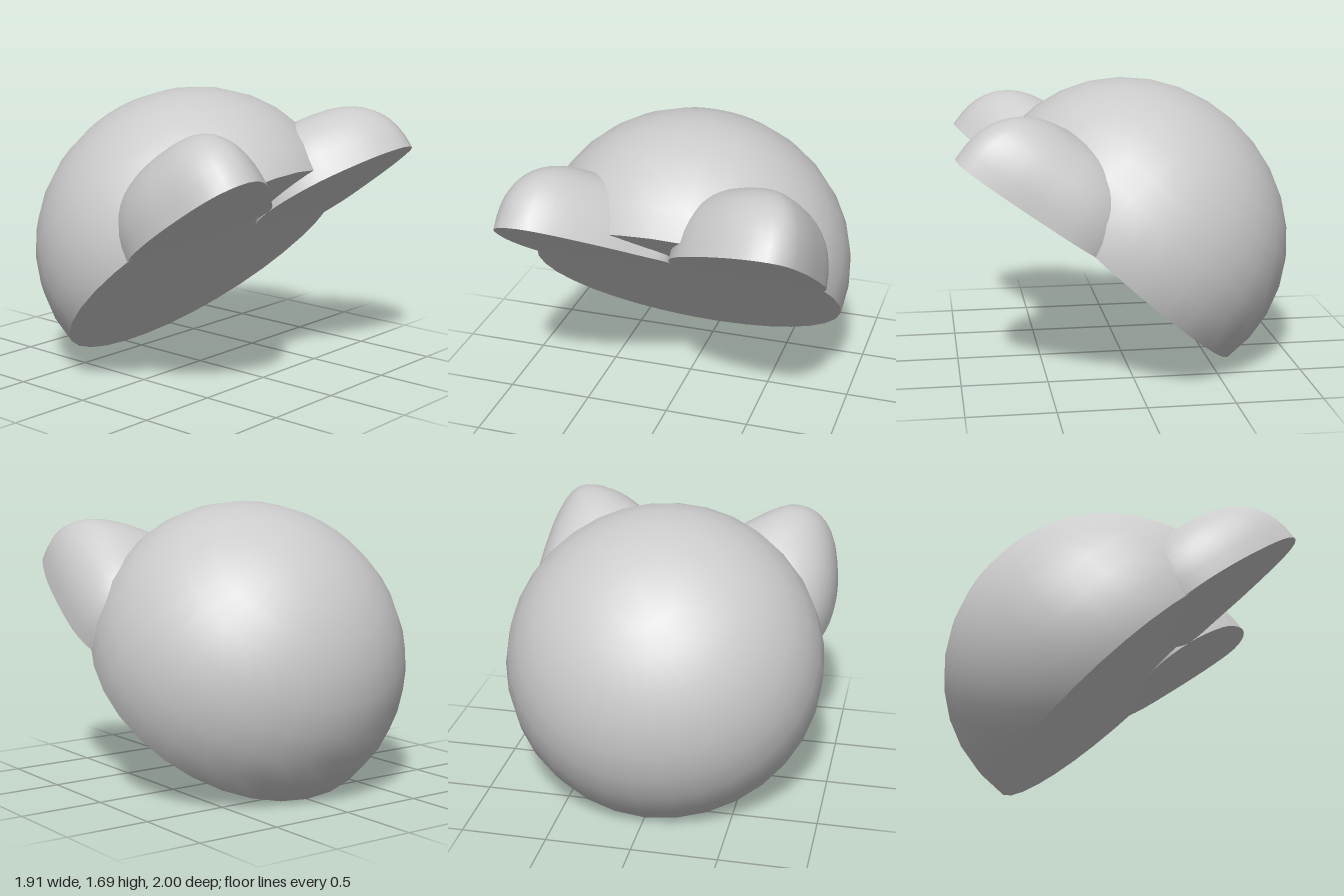
import * as THREE from 'three';

const grey = new THREE.MeshStandardMaterial({ color: 0xcccccc });

function part(name, geometry, parent) {
  const mesh = new THREE.Mesh(geometry, grey);
  mesh.name = name;
  parent.add(mesh);
}

function buildGeometry(positions, index) {
  const geometry = new THREE.BufferGeometry();
  geometry.setAttribute('position', new THREE.Float32BufferAttribute(positions, 3));
  geometry.setIndex(index);
  geometry.computeVertexNormals();
  return geometry;
}

// Puffy half shell over a flat outline given as [x, z], anticlockwise from above
function addEar(name, outline, [cx, cz], height, parent) {
  const sides = 48, rings = 12, bulge = 0.83;
  const curve = new THREE.CatmullRomCurve3(
    outline.map(([x, z]) => new THREE.Vector3(x, 0, z)), true);
  const rim = curve.getSpacedPoints(sides).slice(0, sides);
  const ear = new THREE.Group();
  ear.name = name;
  parent.add(ear);

  // Rounded shell, closing to a single top point
  const pos = [], idx = [];
  for (let i = 0; i < rings; i++) {
    const t = (i / rings) * Math.PI / 2;
    const r = Math.cos(t) ** bulge, h = height * Math.sin(t) ** bulge;
    rim.forEach((p, j) => {
      pos.push(cx + (p.x - cx) * r, h, cz + (p.z - cz) * r);
      const k = (j + 1) % sides, a = i * sides + j, b = i * sides + k;
      if (i < rings - 1) idx.push(a, b, b + sides, a, b + sides, a + sides);
      else idx.push(a, b, rings * sides);
    });
  }
  pos.push(cx, height, cz);
  part(name + 'Shell', buildGeometry(pos, idx), ear);

  // Flat underside
  const basePos = [cx, 0, cz], baseIdx = [];
  rim.forEach((p, j) => {
    basePos.push(p.x, 0, p.z);
    baseIdx.push(0, ((j + 1) % sides) + 1, j + 1);
  });
  part(name + 'Base', buildGeometry(basePos, baseIdx), ear);
}

export function createModel() {
  const model = new THREE.Group();
  model.name = 'earedDome';

  // Slightly flattened dome, cut one ring below its widest circle
  const dome = new THREE.Group();
  dome.name = 'dome';
  dome.position.set(0, 0.765, -0.07);
  dome.rotation.x = -0.74;
  model.add(dome);
  const step = Math.PI / 16, radius = 0.955, depth = 0.9;
  part('domeShell', new THREE.SphereGeometry(1, 32, 9, 0, Math.PI * 2, 0, step * 9)
    .scale(radius, depth, radius), dome);
  part('domeBase', new THREE.CircleGeometry(radius * Math.cos(step), 32)
    .rotateX(Math.PI / 2).translate(0, -depth * Math.sin(step), 0), dome);

  // Ears lie on a shallower slope than the cut of the dome
  const ears = new THREE.Group();
  ears.name = 'ears';
  ears.position.set(0, 0.875, 0.32);
  ears.rotation.x = -0.615;
  model.add(ears);
  addEar('leftEar', [
    [0.04, 0.2], [0.06, 0.36], [0.15, 0.54], [0.3, 0.68], [0.5, 0.8], [0.68, 0.84],
    [0.8, 0.8], [0.87, 0.64], [0.91, 0.38], [0.91, 0.03], [0.82, -0.16],
    [0.6, -0.22], [0.35, -0.14], [0.12, 0.02],
  ], [0.52, 0.34], 0.46, ears);
  addEar('rightEar', [
    [-0.92, 0], [-0.955, 0.2], [-0.95, 0.38], [-0.9, 0.62], [-0.82, 0.74], [-0.7, 0.79],
    [-0.57, 0.76], [-0.3, 0.57], [-0.12, 0.4], [0.04, 0.22], [-0.08, 0.04],
    [-0.35, -0.14], [-0.6, -0.22], [-0.83, -0.16],
  ], [-0.55, 0.32], 0.45, ears);

  return model;
}
